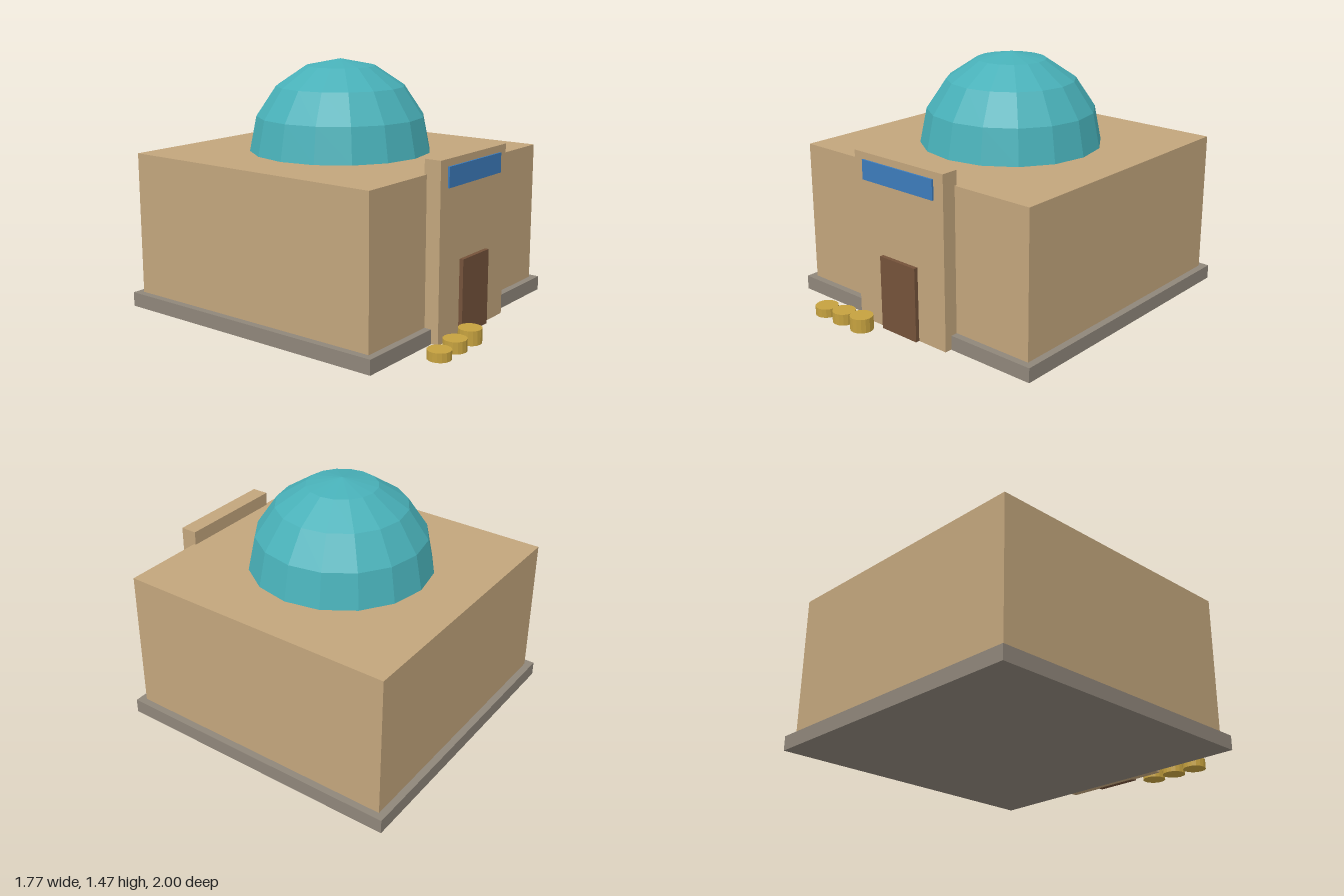
import * as THREE from 'three';

const material = (name, color, extra = {}) => {
  const m = new THREE.MeshStandardMaterial({ color, ...extra });
  m.name = name;
  return m;
};

export function createModel() {
  const model = new THREE.Group();
  model.name = 'domedBuilding';

  const sand = material('sandstone', 0xc2a57c);
  const stone = material('greyStone', 0x8f867a);
  const teal = material('tealTile', 0x48b0b8, { flatShading: true });
  const wood = material('darkWood', 0x74523a);
  const blue = material('blueSign', 0x3c7bbb);
  const gold = material('gold', 0xc5a13f, { flatShading: true });

  const add = (name, geometry, mat, x, y, z) => {
    const mesh = new THREE.Mesh(geometry, mat);
    mesh.name = name;
    mesh.position.set(x, y, z);
    model.add(mesh);
  };
  // Box given by its width, its y range and its z range, centred on x = 0
  const addBox = (name, mat, w, y0, y1, z0, z1) =>
    add(name, new THREE.BoxGeometry(w, y1 - y0, z1 - z0), mat, 0, (y0 + y1) / 2, (z0 + z1) / 2);

  // Plinth and hall
  addBox('plinth', stone, 1.77, 0, 0.085, -1, 0.77);
  addBox('hall', sand, 1.684, 0.085, 0.93, -0.957, 0.728);

  // Entrance front with its door and blue panel
  addBox('portal', sand, 0.676, 0.002, 1.013, 0.714, 0.815);
  addBox('door', wood, 0.27, 0.002, 0.441, 0.805, 0.839);
  addBox('signPanel', blue, 0.538, 0.857, 0.972, 0.805, 0.826);

  // Faceted half dome
  add('dome', new THREE.SphereGeometry(0.54, 16, 4, 0, Math.PI * 2, 0, Math.PI / 2),
    teal, 0, 0.93, -0.115);

  // Three stacks of rising height beside the door
  [0.052, 0.067, 0.083].forEach((h, i) => {
    add('goldStack' + (i + 1), new THREE.CylinderGeometry(0.067, 0.067, h, 16), gold,
      -0.506 + 0.151 * i, 0.012 + h / 2, 0.933);
  });

  return model;
}
